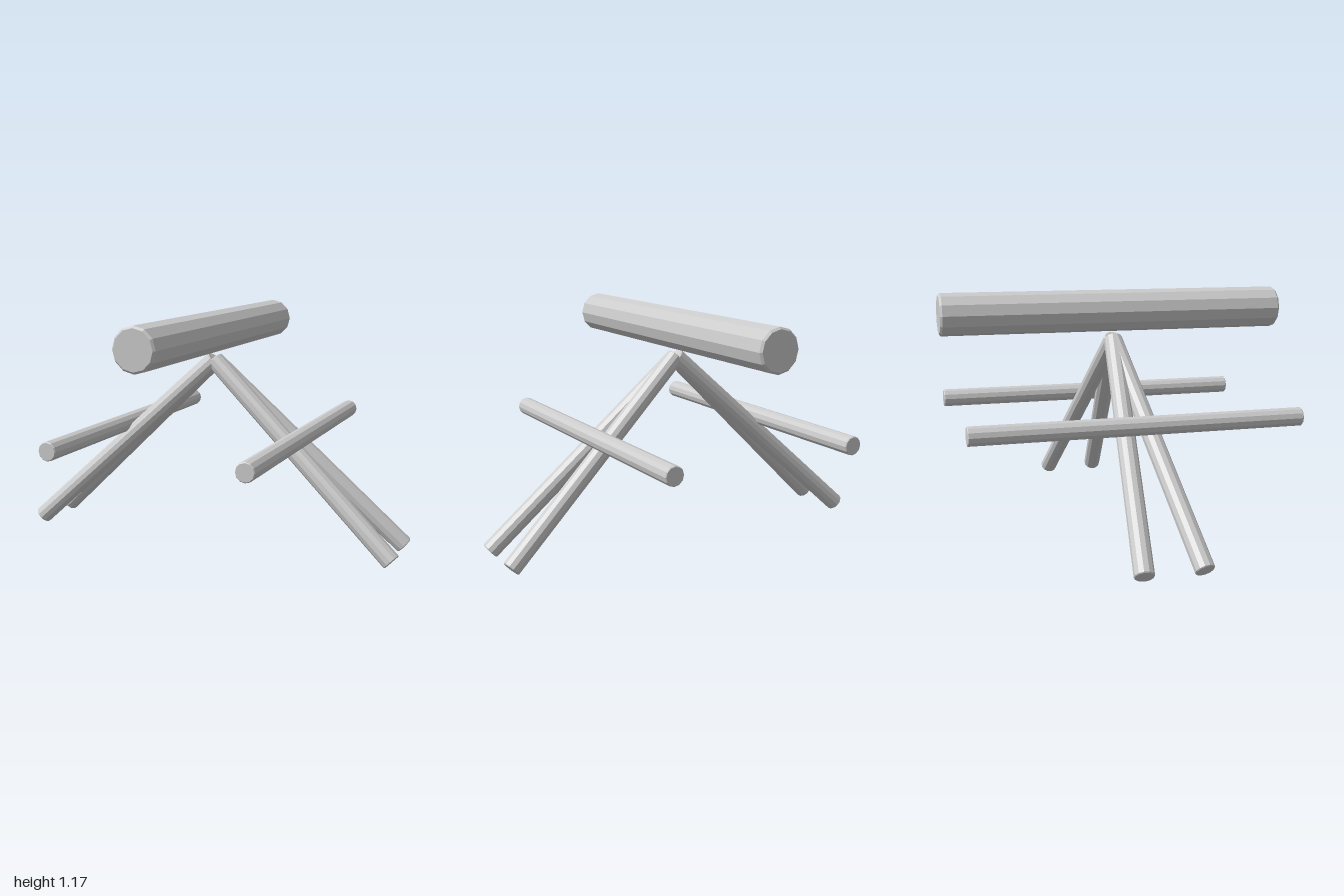
import * as THREE from 'three';

const SIDES = 12;

export function createModel() {
  const model = new THREE.Group();
  const material = new THREE.MeshStandardMaterial({ color: 0xcccccc, flatShading: true });

  // Round pole with slightly bevelled ends, running from a to b
  function pole(name, a, b, radius, bevel) {
    const start = new THREE.Vector3(...a);
    const end = new THREE.Vector3(...b);
    const axis = end.clone().sub(start);
    const h = axis.length() / 2;
    const profile = [
      [0, -h], [radius - bevel, -h], [radius, bevel - h],
      [radius, h - bevel], [radius - bevel, h], [0, h],
    ].map(([x, y]) => new THREE.Vector2(x, y));
    const mesh = new THREE.Mesh(new THREE.LatheGeometry(profile, SIDES), material);
    mesh.name = name;
    mesh.position.copy(start).add(end).multiplyScalar(0.5);
    mesh.quaternion.setFromUnitVectors(new THREE.Vector3(0, 1, 0), axis.normalize());
    model.add(mesh);
  }

  // Thick beam along the top
  pole('topBeam', [0, 1.074, -0.87], [0, 1.074, 0.87], 0.104, 0.01);

  for (const side of [1, -1]) {
    const label = side > 0 ? 'left' : 'right';
    // Side rail resting on the legs
    pole(label + 'Rail', [side * 0.485, 0.58, -0.81], [side * 0.485, 0.58, 0.81], 0.046, 0.004);
    // Pair of legs splayed from the apex
    for (const depth of [1, -1]) {
      const name = label + (depth > 0 ? 'FrontLeg' : 'BackLeg');
      pole(name, [0, 0.93, 0], [side * 0.968, 0.035, depth * 0.138], 0.046, 0.004);
    }
  }
  return model;
}
